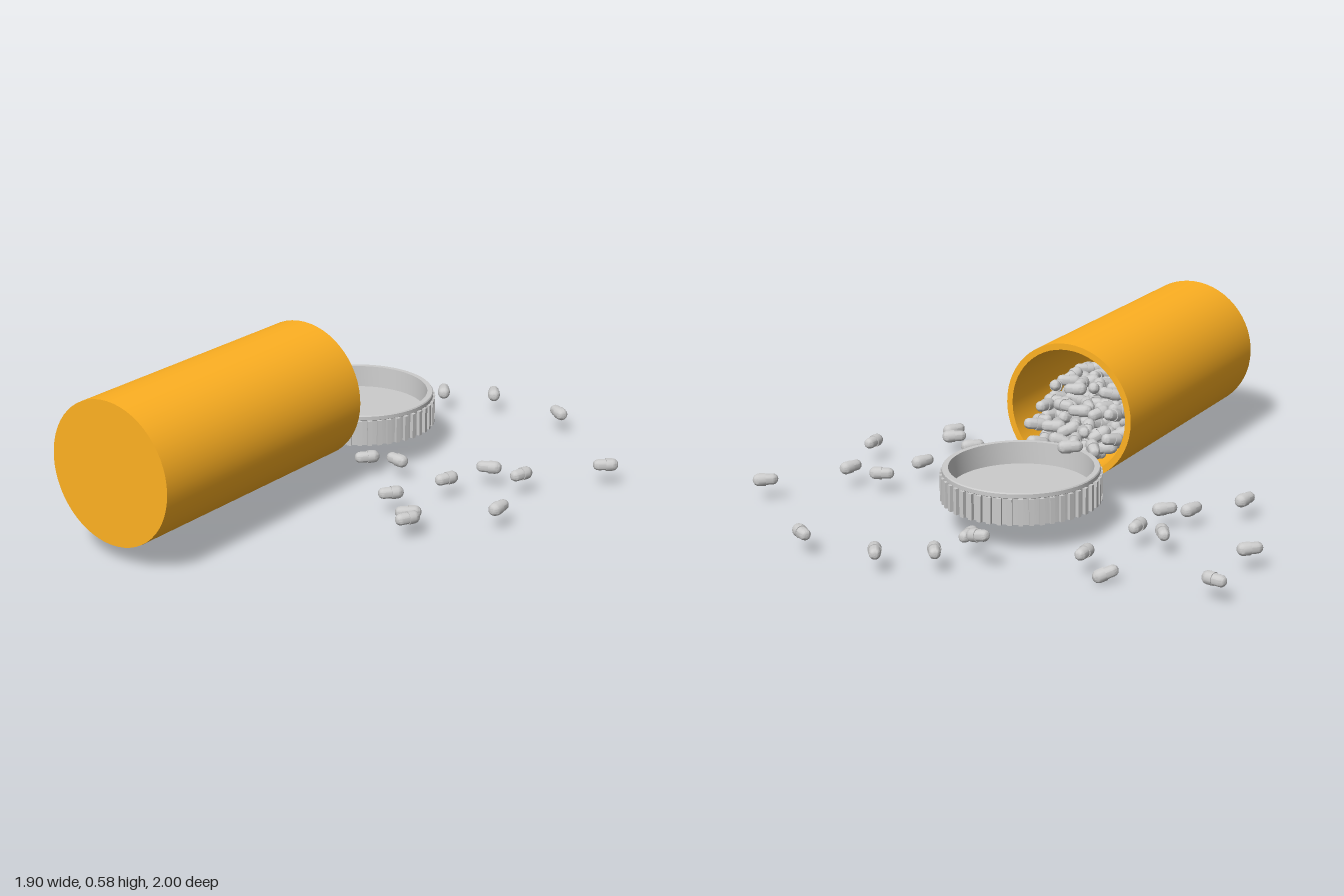
import * as THREE from 'three';
import { toCreasedNormals } from 'three/addons/utils/BufferGeometryUtils.js';

const CX = -0.027; // shared axis of bottle and cap
const grey = new THREE.MeshStandardMaterial({ color: 0xcccccc });
const amber = new THREE.MeshStandardMaterial({ color: 0xffb122 });

function lathe(points, segments) {
  const g = new THREE.LatheGeometry(points.map(([r, y]) => new THREE.Vector2(r, y)), segments);
  return toCreasedNormals(g, 0.6);
}

function seeded(seed) {
  return () => (seed = (seed * 16807) % 2147483647) / 2147483647;
}

// Two-piece capsule lying along x: a slim half slid into a wider half
function pillGeometry() {
  const half = 0.046, slim = 0.0205, wide = 0.0235, pts = [];
  for (let i = 0; i <= 4; i++) {
    const a = (i / 4) * Math.PI / 2;
    pts.push([slim * Math.sin(a), -half + slim * (1 - Math.cos(a))]);
  }
  pts.push([slim, 0], [wide, 0]);
  for (let i = 4; i >= 0; i--) {
    const a = (i / 4) * Math.PI / 2;
    pts.push([wide * Math.sin(a), half - wide * (1 - Math.cos(a))]);
  }
  return lathe(pts, 14).rotateZ(-Math.PI / 2);
}

// Open bottle lying along z, mouth to the back
function makeBottle() {
  const outer = 0.255, inner = 0.232;
  const g = lathe([[0, 0.975], [inner, 0.975], [inner, -0.02], [outer, -0.02], [outer, 1], [0, 1]], 56);
  g.rotateX(Math.PI / 2);
  const mesh = new THREE.Mesh(g, amber);
  mesh.name = 'bottle';
  mesh.position.set(CX, 0.326, 0);
  return mesh;
}

// Upturned cap with grip ribs
function makeCap() {
  const cap = new THREE.Group();
  cap.name = 'cap';
  const shell = new THREE.Mesh(lathe([
    [0, 0], [0.272, 0], [0.272, 0.095], [0.277, 0.098], [0.277, 0.112], [0.274, 0.116],
    [0.255, 0.116], [0.25, 0.035], [0, 0.035],
  ], 64), grey);
  shell.name = 'capShell';
  cap.add(shell);
  const ribGeometry = new THREE.BoxGeometry(0.018, 0.095, 0.016);
  const ribs = 48;
  for (let i = 0; i < ribs; i++) {
    const a = (i / ribs) * Math.PI * 2;
    const rib = new THREE.Mesh(ribGeometry, grey);
    rib.name = 'capRib';
    rib.position.set(0.276 * Math.cos(a), 0.0485, 0.276 * Math.sin(a));
    rib.rotation.y = -a;
    cap.add(rib);
  }
  cap.position.set(CX, 0.109, -0.352);
  return cap;
}

// Loose pills: x, z, heading in degrees, then optional height and tilt
const loosePills = [
  [0.18, -0.957, 55], [0.49, -0.94, 30], [0.01, -0.857, 55], [-0.11, -0.775, 10, 0.127, -12],
  [-0.013, -0.68, 90], [-0.907, -0.632, 10, 0.083], [-0.527, -0.66, -40, 0.034, -20], [-0.43, -0.627, 90],
  [0.907, -0.592, -40, 0.083], [-0.897, -0.338, -45, 0.083], [-0.58, -0.35, 55, 0.083],
  [-0.473, -0.328, 90], [0.585, -0.32, -25], [0.717, -0.328, -75, 0.083],
  [0.278, -0.18, 8, 0.074], [0.177, -0.132, -50, 0.074], [0.526, -0.137, -70],
  [-0.108, -0.148, -40, 0.247], [-0.48, -0.137, -50], [-0.553, -0.074, -75, 0.07],
  [-0.685, 0.085, -80], [0.812, -0.042, 90], [0.452, 0.095, -50, 0.083],
  [0.585, 0.175, -40, 0.074], [0.62, 0.228, -65],
];
// Pills tumbling over the lip of the mouth
const mouthPills = [
  [-0.15, -0.055, 50, 0.22, 10], [-0.09, -0.04, 25, 0.19, -15], [-0.035, -0.045, 5, 0.16, 10],
  [0.035, -0.04, 10, 0.18, 0], [0.085, -0.045, -60, 0.2, 15], [0.0, -0.025, -30, 0.215, 20],
  [-0.06, -0.03, 70, 0.225, 5], [0.06, -0.02, 40, 0.145, 0],
];

export function createModel() {
  const model = new THREE.Group();
  model.name = 'spilledPillBottle';
  model.add(makeBottle(), makeCap());

  const geometry = pillGeometry();
  const addPill = (group, x, z, heading, y = 0.079, tilt = 0) => {
    const pill = new THREE.Mesh(geometry, grey);
    pill.name = 'pill';
    pill.position.set(x, y, z);
    pill.rotation.set(0, -THREE.MathUtils.degToRad(heading), THREE.MathUtils.degToRad(tilt));
    group.add(pill);
  };

  const loose = new THREE.Group();
  loose.name = 'loosePills';
  [...loosePills, ...mouthPills].forEach((p) => addPill(loose, ...p));
  model.add(loose);

  // Heap inside the bottle, rising away from the mouth
  const heap = new THREE.Group();
  heap.name = 'pillHeap';
  const rand = seeded(71);
  for (let z = 0.03; z < 0.5; z += 0.052) {
    const top = Math.min(-0.1 + 0.5 * z, 0.02);
    for (let y = -0.185; y <= top; y += 0.046) {
      const reach = Math.sqrt(0.19 ** 2 - Math.min(Math.abs(y), 0.187) ** 2);
      const count = Math.max(1, Math.floor((2 * reach) / 0.065) + 1);
      for (let i = 0; i < count; i++) {
        const x = count === 1 ? 0 : reach * ((2 * i) / (count - 1) - 1);
        addPill(heap, CX + x * (0.93 + 0.07 * rand()), z + 0.03 * (rand() - 0.5), rand() * 180,
          0.326 + y + 0.012 * rand(), (rand() - 0.5) * 50);
      }
    }
  }
  model.add(heap);
  return model;
}
